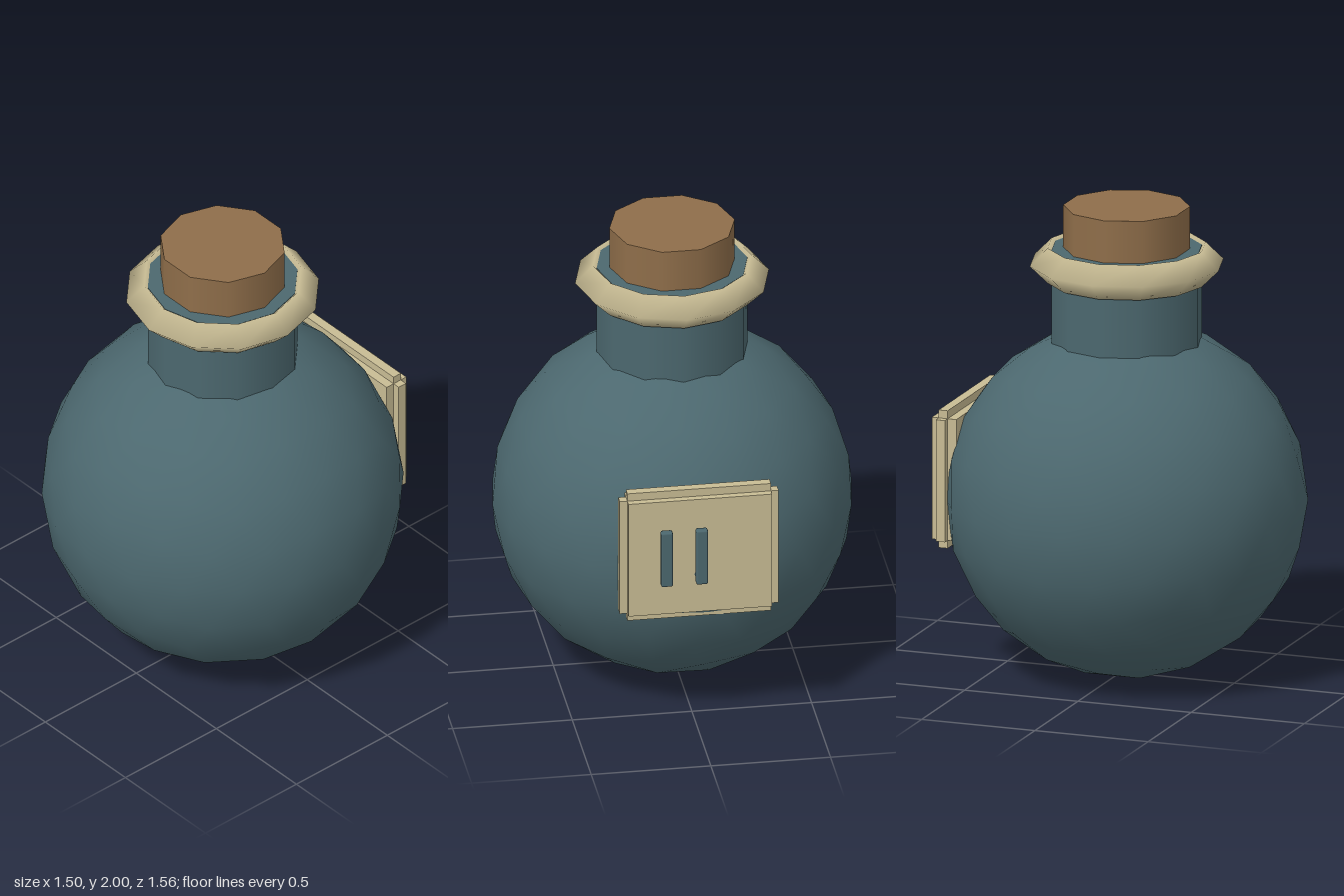
import * as THREE from 'three';
import { RoundedBoxGeometry } from 'three/addons/geometries/RoundedBoxGeometry.js';

const AXIS_Z = 0.025; // the flask axis sits slightly forward of the centre

// Icosphere with poles on the y axis, built by halving the edges twice
function icosphere(radius) {
  const verts = [0, 1, 0, 0, -1, 0];
  const h = 1 / Math.sqrt(5), ring = 2 * h;
  for (let k = 0; k < 10; k++) {
    // even k: lower ring, odd k: upper ring
    const a = (k * Math.PI) / 5;
    verts.push(ring * Math.cos(a), k % 2 ? h : -h, ring * Math.sin(a));
  }
  const faces = [];
  const at = (k) => 2 + (k % 10);
  for (let k = 0; k < 10; k += 2) {
    faces.push(0, at(k + 3), at(k + 1)); // top cap
    faces.push(1, at(k), at(k + 2)); // bottom cap
    faces.push(at(k), at(k + 1), at(k + 2)); // middle band
    faces.push(at(k + 1), at(k + 3), at(k + 2));
  }
  const once = new THREE.PolyhedronGeometry(verts, faces, 1, 1);
  const pos = Array.from(once.attributes.position.array);
  return new THREE.PolyhedronGeometry(pos, pos.slice(0, pos.length / 3).map((_, i) => i), radius, 1);
}

export function createModel() {
  const flask = new THREE.Group();
  flask.name = 'corkedFlask';

  const material = (name, color) => {
    const m = new THREE.MeshStandardMaterial({ color });
    m.name = name;
    return m;
  };
  const glass = material('blueGlass', 0x4c686f);
  const cork = material('brownCork', 0x8f6e4a);
  const tan = material('tan', 0xc8bc94);

  const add = (name, geometry, mat, x, y, z, parent = flask) => {
    const mesh = new THREE.Mesh(geometry, mat);
    mesh.name = name;
    mesh.position.set(x, y, z);
    parent.add(mesh);
    return mesh;
  };

  // Round body and neck
  add('body', icosphere(0.75), glass, 0, 0.755, AXIS_Z);
  add('neck', new THREE.CylinderGeometry(0.315, 0.315, 0.52, 12), glass, 0, 1.56, AXIS_Z);

  // Diamond-section collar around the mouth
  const collar = new THREE.TorusGeometry(0.33, 0.075, 4, 12).rotateX(-Math.PI / 2);
  add('collar', collar, tan, 0, 1.757, AXIS_Z);

  // Stopper
  const stopper = new THREE.CylinderGeometry(0.262, 0.262, 0.3, 10, 1, false, Math.PI / 2);
  add('stopper', stopper, cork, 0, 1.85, AXIS_Z);

  // Label on the back: a plate with a narrow strip along each edge
  const label = new THREE.Group();
  label.name = 'label';
  flask.add(label);
  add('labelPlate', new THREE.BoxGeometry(0.6, 0.52, 0.108), tan, 0, 0.84, -0.667, label);
  for (const s of [-1, 1]) {
    add('sideStrip', new THREE.BoxGeometry(0.032, 0.52, 0.04), tan, s * 0.316, 0.84, -0.671, label);
    add('edgeStrip', new THREE.BoxGeometry(0.6, 0.034, 0.04), tan, 0, 0.84 + s * 0.277, -0.671, label);
  }

  // Two upright bars in front of the label
  for (const x of [0, 0.147]) {
    add('labelBar', new RoundedBoxGeometry(0.05, 0.25, 0.036, 1, 0.008), glass, x, 0.858, -0.763, label);
  }

  return flask;
}
